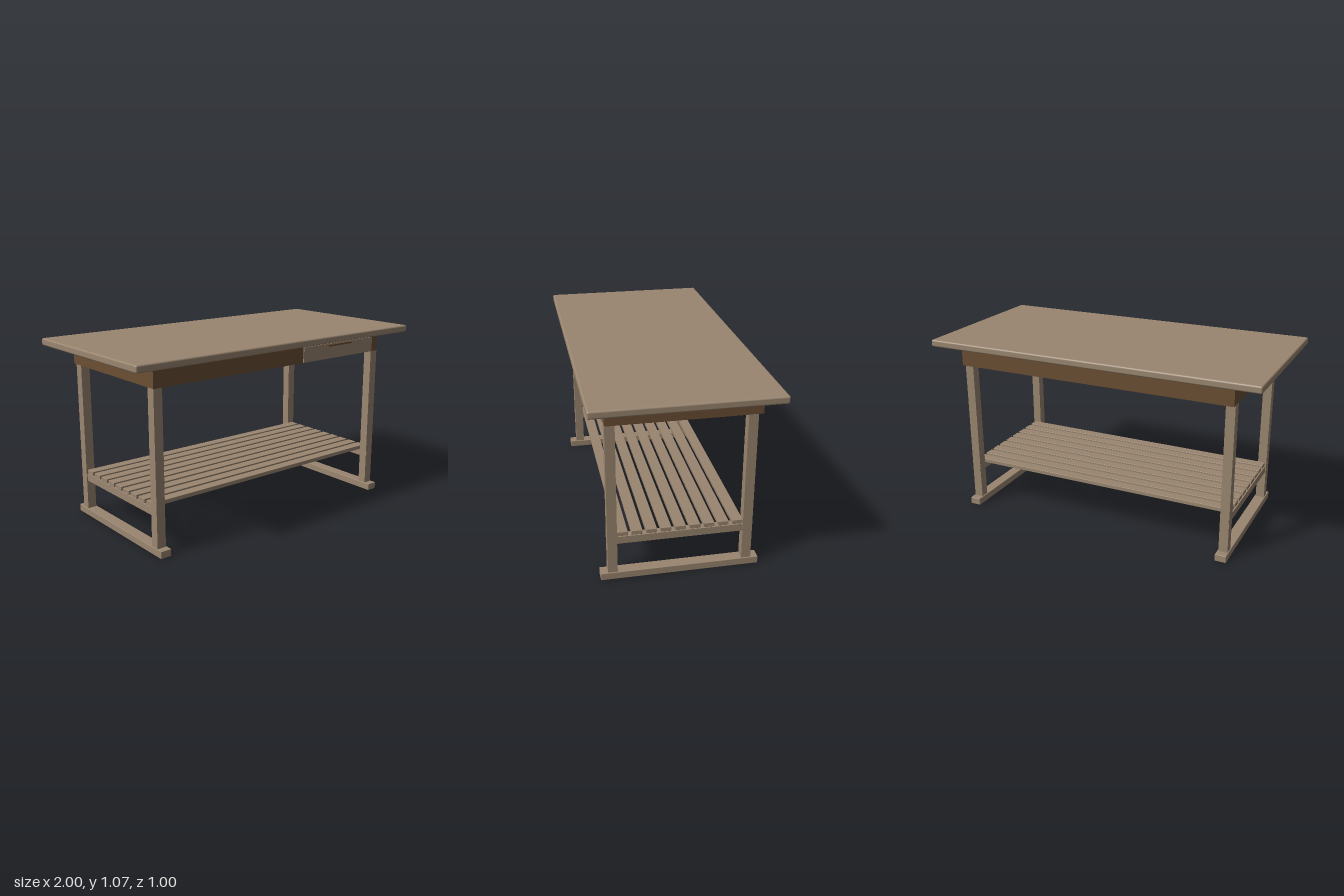
import * as THREE from 'three';
import { RoundedBoxGeometry } from 'three/addons/geometries/RoundedBoxGeometry.js';

export function createModel() {
  const table = new THREE.Group();
  table.name = 'workTable';

  const wood = new THREE.MeshStandardMaterial({ color: 0x9a8670 });
  wood.name = 'pale wood';
  const brown = new THREE.MeshStandardMaterial({ color: 0x6b4e33 });
  brown.name = 'brown wood';

  // Block given by its minimum and maximum corners, optionally rounded
  function block(name, material, [x0, y0, z0], [x1, y1, z1], radius = 0) {
    const size = [x1 - x0, y1 - y0, z1 - z0];
    const geometry = radius
      ? new RoundedBoxGeometry(...size, 3, radius)
      : new THREE.BoxGeometry(...size);
    const mesh = new THREE.Mesh(geometry, material);
    mesh.name = name;
    mesh.position.set((x0 + x1) / 2, (y0 + y1) / 2, (z0 + z1) / 2);
    table.add(mesh);
  }

  // Top board, floating slightly above the apron
  block('tableTop', wood, [-1, 1.03, -0.5], [1, 1.072, 0.5], 0.01);

  // Apron box with drawer front and pull
  block('apron', brown, [-0.84, 0.915, -0.425], [0.84, 1.014, 0.4]);
  block('drawerFront', wood, [0.2, 0.917, 0.399], [0.785, 1.007, 0.407]);
  block('drawerPull', brown, [0.39, 0.991, 0.406], [0.59, 1.001, 0.415]);

  for (const side of [-1, 1]) {
    // Order the x limits for either end of the table
    const span = (inner, outer) => (side > 0 ? [inner, outer] : [-outer, -inner]);
    const [f0, f1] = span(0.78, 0.846);
    const [l0, l1] = span(0.787, 0.84);
    const [s0, s1] = span(0.79, 0.835);

    // Sled foot, two legs and the rail that carries the shelf
    block('foot', wood, [f0, 0, -0.44], [f1, 0.042, 0.44], 0.003);
    block('backLeg', wood, [l0, 0.04, -0.398], [l1, 0.916, -0.345]);
    block('frontLeg', wood, [l0, 0.04, 0.347], [l1, 0.916, 0.4]);
    block('shelfRail', wood, [s0, 0.217, -0.4], [s1, 0.259, 0.401]);
  }

  // Shelf slats
  for (let i = -4; i <= 4; i++) {
    const z = i * 0.0792;
    block('shelfSlat', wood, [-0.83, 0.26, z - 0.03], [0.83, 0.284, z + 0.03], 0.002);
  }

  return table;
}
